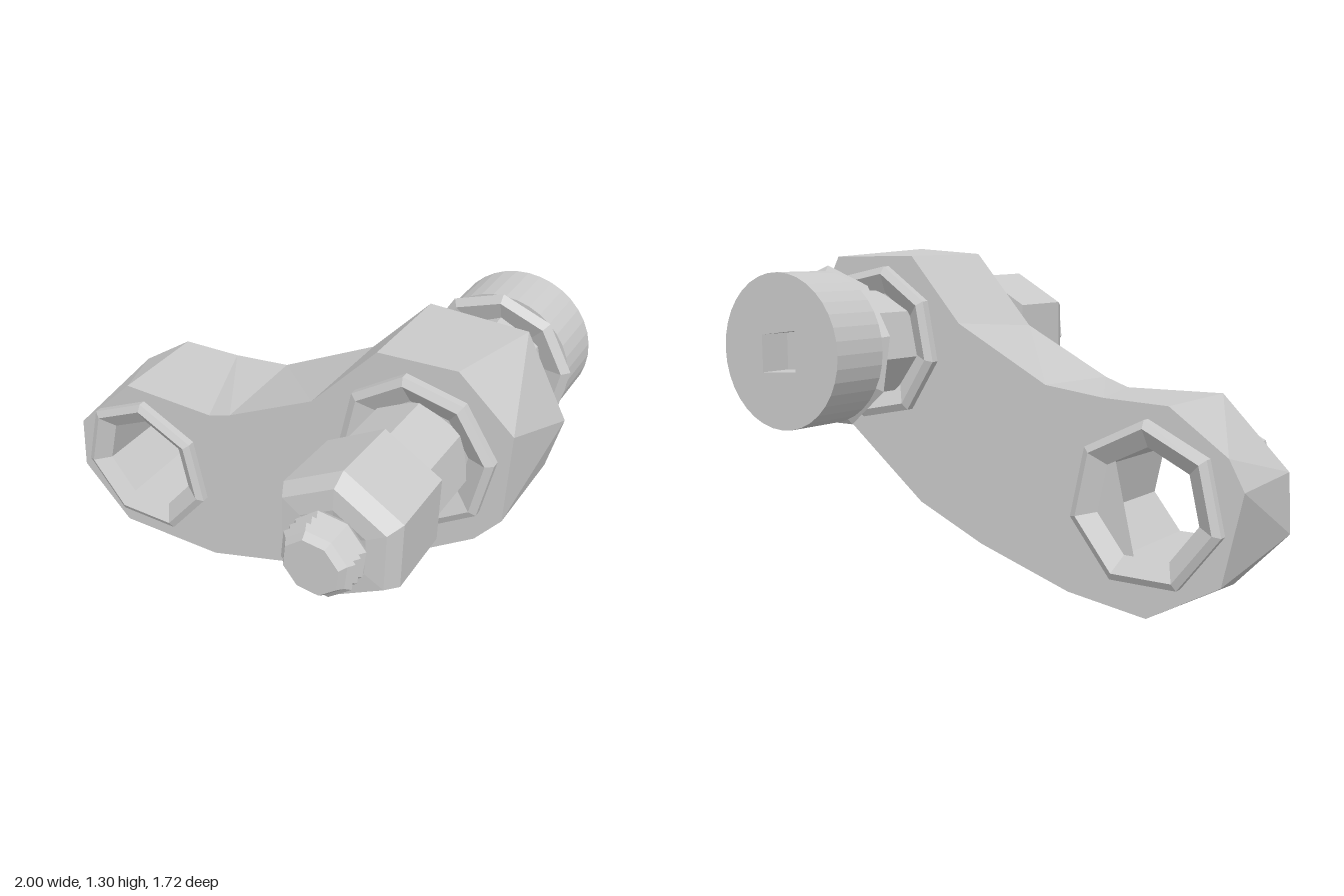
import * as THREE from 'three';

const material = new THREE.MeshStandardMaterial({ color: 0xcccccc, flatShading: true });
const BACK = -0.32, FRONT = 0.11; // plate faces
const EYE = [-0.63, 0.41], BOLT = [0.61, 0.93];

// Lathe around the z axis; profile points are [radius, z], counter-clockwise
function turned(name, profile, sides, [x, y], phase = Math.PI) {
  const geometry = new THREE.LatheGeometry(
    profile.map(([r, z]) => new THREE.Vector2(r, z)), sides, phase);
  geometry.rotateX(Math.PI / 2);
  const mesh = new THREE.Mesh(geometry, material);
  mesh.name = name;
  mesh.position.set(x, y, 0);
  return mesh;
}

const toVectors = (list) => list.map(([x, y]) => new THREE.Vector2(x, y));

// Curved link plate whose front and back outlines differ slightly
function createPlate() {
  const front = toVectors([
    [-0.71, 0.77], [-0.98, 0.5], [-0.99, 0.27], [-0.77, 0.045], [-0.3, 0.05], [0.1, 0.175],
    [0.4, 0.31], [0.86, 0.63], [0.955, 0.75], [0.96, 1.11], [0.74, 1.3], [0.43, 1.28],
    [0.17, 0.99], [-0.2, 0.8], [-0.3, 0.765]]);
  const back = toVectors([
    [-0.71, 0.77], [-0.94, 0.61], [-1, 0.5], [-0.92, 0.16], [-0.63, 0], [-0.3, 0.045],
    [0.1, 0.17], [0.4, 0.3], [0.95, 0.73], [1, 0.95], [0.82, 1.27], [0.43, 1.275],
    [0.2, 1.02], [-0.2, 0.81], [-0.45, 0.78]]);
  const shape = new THREE.Shape(front);
  shape.holes.push(new THREE.Path().absarc(...EYE, 0.24, 0, Math.PI * 2, true));
  const geometry = new THREE.ExtrudeGeometry(shape,
    { depth: FRONT - BACK, bevelEnabled: false, curveSegments: 7 });
  geometry.translate(0, 0, BACK);
  const p = geometry.attributes.position;
  for (let i = 0; i < p.count; i++) {
    if (p.getZ(i) > 0) continue;
    const k = front.findIndex((v) => Math.hypot(v.x - p.getX(i), v.y - p.getY(i)) < 1e-4);
    if (k >= 0) p.setXY(i, back[k].x, back[k].y);
  }
  geometry.computeVertexNormals();
  const mesh = new THREE.Mesh(geometry, material);
  mesh.name = 'linkPlate';
  return mesh;
}

// Round bolt head with a rectangular socket
function createHead() {
  const shape = new THREE.Shape().absarc(0, 0, 0.29, 0, Math.PI * 2, false);
  shape.holes.push(new THREE.Path(toVectors(
    [[-0.08, -0.07], [-0.08, 0.08], [0.09, 0.06], [0.09, -0.08]])));
  const geometry = new THREE.ExtrudeGeometry(shape,
    { depth: 0.235, bevelEnabled: false, curveSegments: 18 });
  const mesh = new THREE.Mesh(geometry, material);
  mesh.name = 'boltHead';
  mesh.position.set(...BOLT, -0.855);
  return mesh;
}

export function createModel() {
  const group = new THREE.Group();
  group.add(createPlate());

  // Bushings: dished rims standing proud of both plate faces
  const rim = (inner) => [
    [inner, BACK], [0.28, -0.365], [0.31, -0.35], [0.31, 0.14], [0.28, 0.155],
    [inner, FRONT], [inner, BACK]];
  group.add(turned('openBushing', rim(0.21), 7, EYE));
  group.add(turned('boltBushing', rim(0.2), 8, BOLT, 0.2));

  // Bolt
  group.add(createHead());
  group.add(turned('headWasher', [
    [0, -0.615], [0.28, -0.615], [0.31, -0.595], [0.28, -0.57], [0.2, -0.6]], 9, BOLT));
  group.add(turned('shank', [
    [0, -0.73], [0.208, -0.73], [0.208, 0.37], [0.13, 0.37], [0.13, 0.4]], 7, BOLT));

  // Hex nut with a chamfered end
  group.add(turned('nut', [
    [0, 0.38], [0.25, 0.38], [0.255, 0.66], [0.22, 0.72], [0.14, 0.725], [0, 0.7]], 6, BOLT));

  // Threaded tip
  const thread = [[0.11, 0.7]];
  for (let i = 0; i < 3; i++) thread.push([0.142, 0.745 + i * 0.035], [0.122, 0.762 + i * 0.035]);
  thread.push([0.105, 0.86], [0, 0.86]);
  group.add(turned('threadedTip', thread, 8, BOLT, 0.3));
  return group;
}
